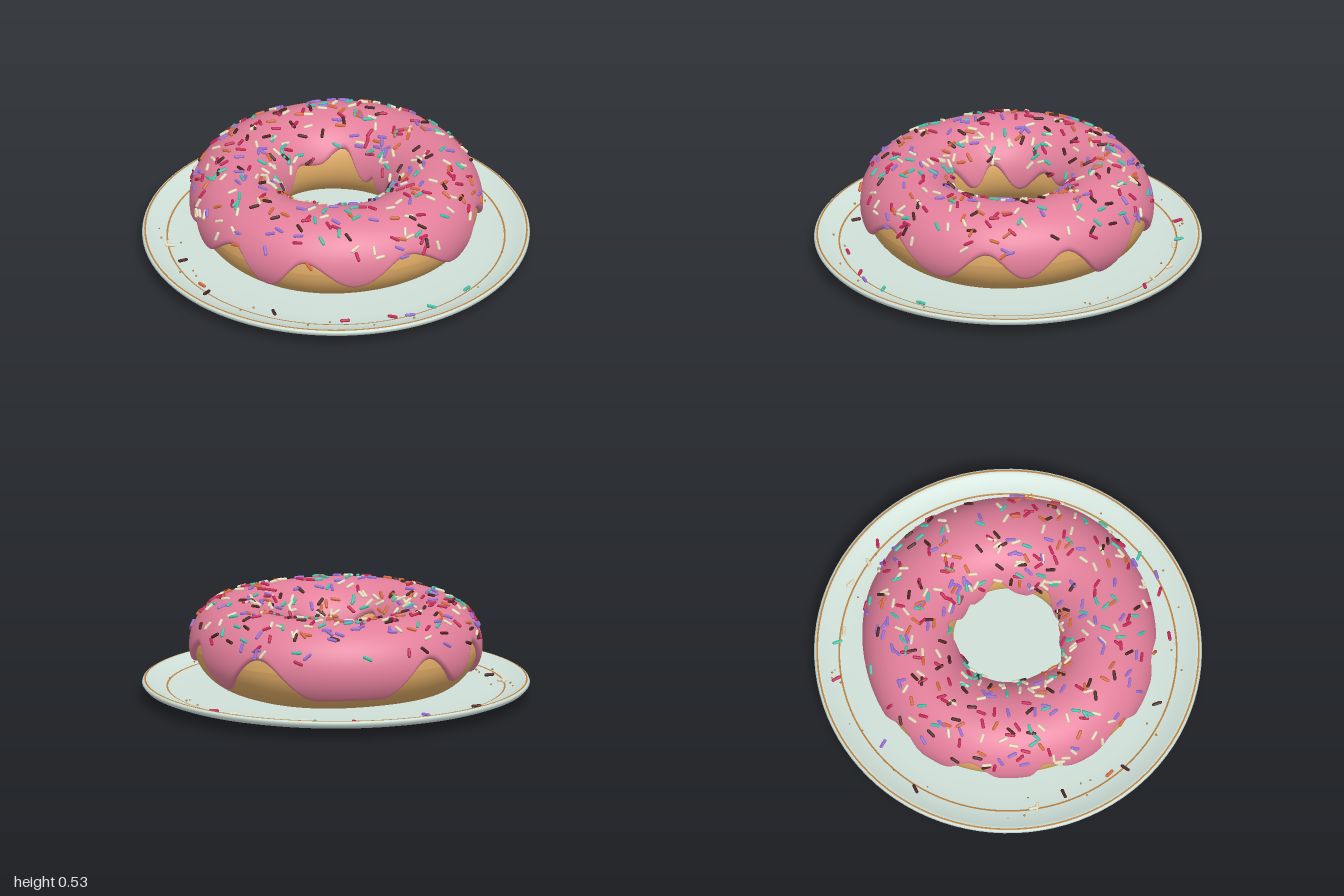
import * as THREE from 'three';
import { mergeGeometries } from 'three/addons/utils/BufferGeometryUtils.js';

const mat = (name, color) => {
  const m = new THREE.MeshStandardMaterial({ color });
  m.name = name;
  return m;
};
const rad = THREE.MathUtils.degToRad;

// Small seeded random generator
function makeRandom(seed) {
  return () => {
    seed = (seed * 1664525 + 1013904223) % 4294967296;
    return seed / 4294967296;
  };
}

// Icing edge: [angle around the ring in degrees, height], alternating drips and gaps
const OUTER_EDGE = [[-6, 0.335], [10, 0.17], [25, 0.335], [46, 0.2], [68, 0.34], [94, 0.175], [113, 0.335],
  [129, 0.2], [146, 0.33], [165, 0.14], [185, 0.335], [210, 0.14], [238, 0.14],
  [259, 0.33], [275, 0.18], [290, 0.34], [309, 0.14], [320, 0.33], [335, 0.2], [354, 0.335]];
const INNER_EDGE = [[5, 0.38], [28, 0.31], [45, 0.33], [60, 0.3], [82, 0.37], [110, 0.22], [138, 0.35],
  [163, 0.21], [173, 0.28], [184, 0.24], [211, 0.39], [236, 0.32], [258, 0.34], [290, 0.22], [318, 0.35],
  [340, 0.25], [365, 0.38]];

// Smooth interpolation between edge keys
function edgeHeight(keys, deg) {
  const start = keys[0][0];
  const d = start + ((((deg - start) % 360) + 360) % 360);
  const i = Math.max(1, keys.findIndex(k => k[0] >= d));
  const [a, ya] = keys[i - 1], [b, yb] = keys[i];
  const t = (d - a) / (b - a);
  return ya + (yb - ya) * (0.5 - 0.5 * Math.cos(Math.PI * t));
}

const RING = 0.51, WIDE = 0.228, TALL = 0.215, MID = 0.278;

// Point on the slightly lumpy ring; phi = 0 faces outward, 90 degrees is the top
function ringPoint(theta, phi, off = 0) {
  const c = Math.cos(phi), s = Math.sin(phi);
  const lump = 0.007 * Math.cos(4 * theta) + 0.007 * Math.sin(theta + 0.8);
  const near = Math.atan2(Math.sin(theta), Math.cos(theta)) / 0.25;
  const notch = c < 0 ? -0.03 * Math.exp(-near * near) : 0;
  const taper = s < 0 ? 1 - 0.14 * s * s : 1;
  const r = RING + (WIDE * taper + off + (c > 0 ? lump : notch)) * c;
  const y = MID + (TALL + off + 0.003 * Math.sin(4 * theta)) * s;
  return new THREE.Vector3(r * Math.sin(theta), y, r * Math.cos(theta));
}

// Surface closed around the ring, made of nv + 1 rows
function ringSurface(nu, nv, point) {
  const pos = [], idx = [];
  for (let i = 0; i < nu; i++)
    for (let j = 0; j <= nv; j++) pos.push(...point((i / nu) * Math.PI * 2, j / nv).toArray());
  for (let i = 0; i < nu; i++)
    for (let j = 0; j < nv; j++) {
      const a = i * (nv + 1) + j, b = ((i + 1) % nu) * (nv + 1) + j;
      idx.push(a, b, b + 1, a, b + 1, a + 1);
    }
  const g = new THREE.BufferGeometry();
  g.setAttribute('position', new THREE.Float32BufferAttribute(pos, 3));
  g.setIndex(idx);
  g.computeVertexNormals();
  return g;
}

const ICING = 0.025;
function icingPoint(theta, t) {
  const deg = THREE.MathUtils.radToDeg(theta);
  const toPhi = y => Math.asin(THREE.MathUtils.clamp((y - MID) / TALL, -0.95, 0.95));
  const from = toPhi(edgeHeight(OUTER_EDGE, deg));
  const to = Math.PI - toPhi(edgeHeight(INNER_EDGE, deg));
  const v = 0.5 - 0.5 * Math.cos(Math.PI * t);
  // Rounded lip at both edges
  const s = Math.min(1, (Math.min(v, 1 - v) * (to - from) * WIDE) / 0.03);
  const off = -0.004 + (ICING + 0.004) * Math.sqrt(1 - (1 - s) * (1 - s));
  return ringPoint(theta, from + (to - from) * v, off);
}

// Plate cross-section, from the underside centre round the rim to the top centre
const PLATE = [[0, 0], [0.55, 0], [0.72, 0.011], [0.86, 0.032], [0.95, 0.054], [0.988, 0.068], [1, 0.083],
  [0.996, 0.094], [0.983, 0.099], [0.965, 0.094], [0.93, 0.076], [0.87, 0.06], [0.78, 0.052], [0.6, 0.05], [0, 0.05]];
function plateTop(r) {
  const top = PLATE.slice(6);
  const i = Math.max(1, top.findIndex(p => p[0] <= r));
  const [a, ya] = top[i - 1], [b, yb] = top[i];
  return ya + ((yb - ya) * (r - a)) / (b - a);
}

// Sprinkles fallen on the plate: x, z, direction in degrees from +x towards -z, colour number
const FALLEN = [[-0.89, 0.04, 60, 4], [-0.78, -0.24, 5, 1], [-0.63, -0.64, -25, 2], [-0.46, -0.75, -35, 0],
  [-0.39, -0.76, 35, 3], [-0.16, -0.88, -10, 3], [-0.01, -0.87, 60, 3], [0.1, -0.89, 40, 2], [0.855, 0, 90, 0],
  [0.82, 0.25, 15, 0], [0.785, 0.385, 50, 1], [0.72, 0.45, 20, 2], [0.55, 0.63, 45, 2], [0.21, 0.79, -35, 4],
  [-0.175, 0.86, 90, 4], [-0.245, 0.81, -10, 5], [-0.47, 0.68, 60, 4], [-0.625, 0.6, -45, 3], [-0.61, 0.61, 30, 3]];

export function createModel() {
  const group = new THREE.Group();
  const add = (name, geometry, material) => {
    const mesh = new THREE.Mesh(geometry, material);
    mesh.name = name;
    group.add(mesh);
  };

  // Plate with two thin gilt lines following its surface
  add('plate', new THREE.LatheGeometry(PLATE.map(p => new THREE.Vector2(...p)), 96), mat('pale celadon', 0xcfe0d8));
  const gilt = mat('gilt', 0xb8803f);
  for (const [name, r] of [['innerLine', 0.87], ['rimLine', 0.984]]) {
    const band = [r + 0.0045, r, r - 0.0045].map(q => new THREE.Vector2(q, plateTop(q) + 0.002));
    add(name, new THREE.LatheGeometry(band, 96), gilt);
  }

  // Dough ring and dripping icing
  add('dough', ringSurface(128, 48, (th, t) => ringPoint(th, t * Math.PI * 2)), mat('baked dough', 0xdba863));
  add('icing', ringSurface(256, 48, icingPoint), mat('pink icing', 0xe27e9a));

  // Sprinkles, collected by colour
  const colours = [mat('teal', 0x42c2aa), mat('violet', 0x966ed2), mat('crimson', 0xc42655),
    mat('cream', 0xeae0c0), mat('chocolate', 0x4a2420), mat('orange', 0xd56a3c)];
  const batches = colours.map(() => []);
  const rand = makeRandom(2024);
  const up = new THREE.Vector3(0, 1, 0), one = new THREE.Vector3(1, 1, 1);
  const sprinkle = new THREE.CapsuleGeometry(0.0085, 0.037, 3, 8);
  const place = (colour, at, dir) => {
    const q = new THREE.Quaternion().setFromUnitVectors(up, dir);
    batches[colour].push(sprinkle.clone().applyMatrix4(new THREE.Matrix4().compose(at, q, one)));
  };

  // On the icing, lying along its surface, cream being the commonest
  const mix = [0, 0, 0, 1, 1, 1, 2, 2, 2, 3, 3, 3, 3, 4, 4, 4, 5, 5];
  for (let i = 0; i < 400; i++) {
    const th = rand() * Math.PI * 2, phi = rad(14 + 146 * rand()), e = 0.01;
    const at = ringPoint(th, phi, ICING + 0.004);
    const du = ringPoint(th + e, phi, ICING + 0.004).sub(at).normalize();
    const dv = ringPoint(th, phi + e, ICING + 0.004).sub(at).normalize();
    const a = rand() * Math.PI * 2;
    const dir = du.multiplyScalar(Math.cos(a)).addScaledVector(dv, Math.sin(a)).normalize();
    place(mix[Math.floor(rand() * mix.length)], at, dir);
  }

  // Fallen on the plate
  for (const [x, z, deg, colour] of FALLEN) {
    const at = new THREE.Vector3(x, plateTop(Math.hypot(x, z)) + 0.009, z);
    place(colour, at, new THREE.Vector3(Math.cos(rad(deg)), 0, -Math.sin(rad(deg))));
  }
  batches.forEach((list, i) => add(colours[i].name + 'Sprinkles', mergeGeometries(list), colours[i]));

  // Crumbs around the ring
  const crumbs = [];
  for (let i = 0; i < 28; i++) {
    const th = rand() * Math.PI * 2, r = 0.8 + 0.12 * rand();
    const crumb = new THREE.SphereGeometry(0.004 + 0.003 * rand(), 6, 4);
    crumbs.push(crumb.translate(r * Math.sin(th), plateTop(r) + 0.003, r * Math.cos(th)));
  }
  add('crumbs', mergeGeometries(crumbs), gilt);

  return group;
}
